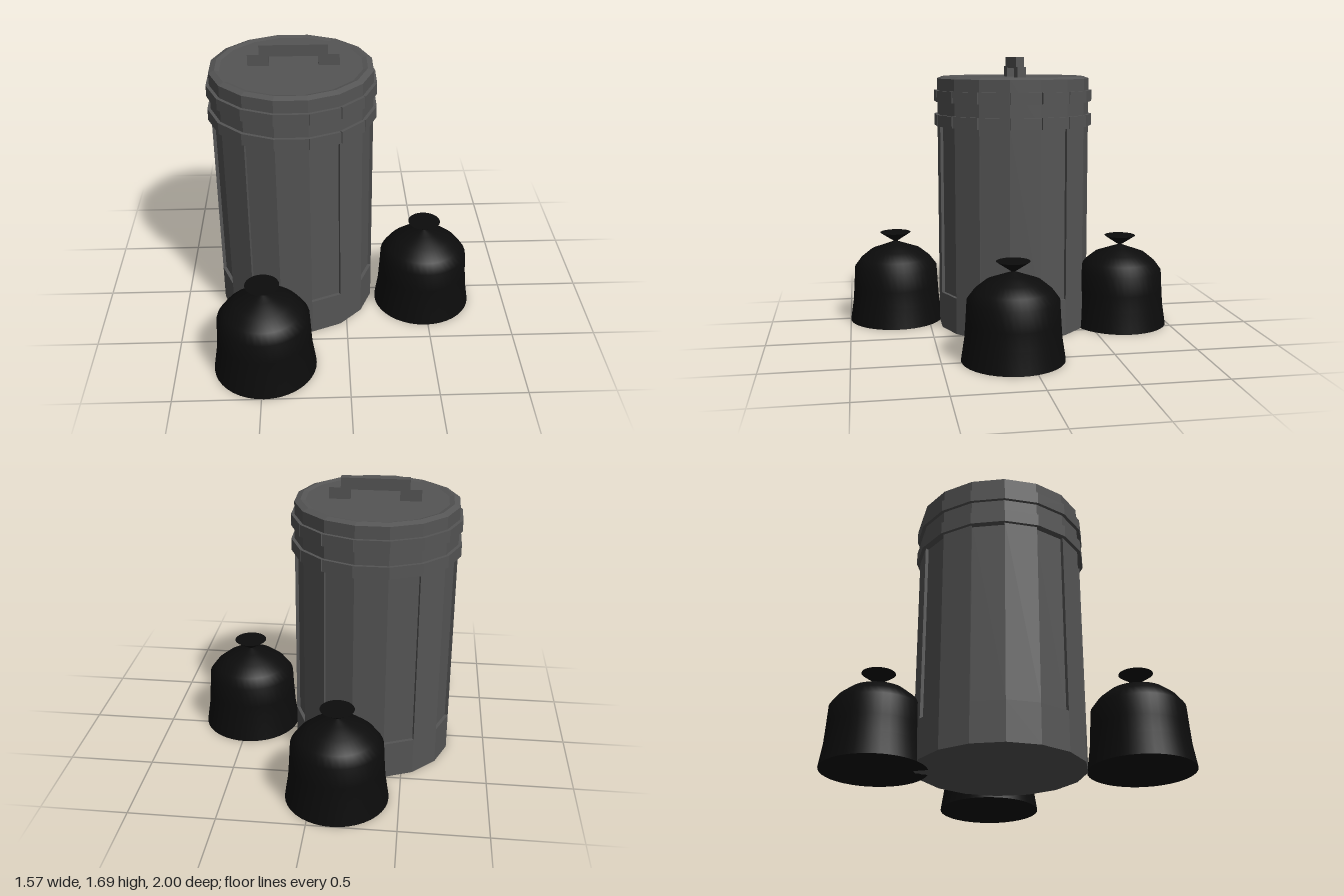
import * as THREE from 'three';

const SIDES = 16;
const STEP = (Math.PI * 2) / SIDES;
const APOTHEM = 0.465;
const HALF = APOTHEM * Math.tan(STEP / 2); // half the width of one side
const RADIUS = APOTHEM / Math.cos(STEP / 2);

const metal = new THREE.MeshStandardMaterial({ color: 0x555555, flatShading: true });
const plastic = new THREE.MeshStandardMaterial({ color: 0x0c0c0c });

function addMesh(parent, name, geometry, material) {
  const mesh = new THREE.Mesh(geometry, material);
  mesh.name = name;
  parent.add(mesh);
  return mesh;
}

// Faceted solid of revolution with flat sides facing the axes
function facetedLathe(profile) {
  const points = profile.map(([r, y]) => new THREE.Vector2(r, y));
  return new THREE.LatheGeometry(points, SIDES, STEP / 2);
}

// Wall whose every second side is set back as a panel
function flutedWall(bottom, top, depth) {
  const points = [];
  for (let i = 0; i < SIDES; i++) {
    const a = i * STEP;
    const c = Math.cos(a), s = Math.sin(a);
    const d = APOTHEM - (i % 2 ? depth : 0);
    for (const t of [-HALF, HALF]) {
      points.push(new THREE.Vector2(c * d - s * t, s * d + c * t));
    }
  }
  // solid sides share their corners with the panel walls
  const geometry = new THREE.ExtrudeGeometry(new THREE.Shape(points), {
    depth: top - bottom, bevelEnabled: false,
  });
  return geometry.rotateX(-Math.PI / 2).translate(0, bottom, 0);
}

// Band of separate plates, with open corners on the +x half
function addBand(parent, name, bottom, top) {
  const band = new THREE.Group();
  band.name = name;
  const outer = 0.484;
  for (let i = 0; i < SIDES; i++) {
    const a = i * STEP;
    const open = Math.sin(a) > 0.01;
    const width = 2 * (open ? HALF : outer * Math.tan(STEP / 2));
    const plate = addMesh(band, 'bandPlate',
      new THREE.BoxGeometry(width, top - bottom, 0.04), metal);
    plate.position.set(Math.sin(a) * (outer - 0.02), (bottom + top) / 2, Math.cos(a) * (outer - 0.02));
    plate.rotation.y = a;
  }
  parent.add(band);
}

function createCan() {
  const can = new THREE.Group();
  can.name = 'trashCan';
  addMesh(can, 'base', facetedLathe([[0, 0], [RADIUS, 0], [RADIUS, 0.225], [0, 0.225]]), metal);
  addMesh(can, 'panelledWall', flutedWall(0.225, 1.28, 0.02), metal);
  addMesh(can, 'lid', facetedLathe([
    [0, 1.28], [RADIUS, 1.28], [RADIUS, 1.56], [0.44, 1.573], [0.412, 1.565], [0, 1.565],
  ]), metal);
  addBand(can, 'lowerBand', 1.27, 1.34);
  addBand(can, 'upperBand', 1.418, 1.487);

  // Stepped handle outline, one half mirrored to the other
  const half = [[0.14, 1.56], [0.14, 1.622], [0, 1.622]];
  const outline = [[0, 1.69], [0.195, 1.69], [0.195, 1.632], [0.262, 1.632], [0.262, 1.56], ...half];
  const mirrored = outline.slice(1, -1).reverse().map(([x, y]) => [-x, y]);
  const shape = new THREE.Shape([...outline, ...mirrored].map(([x, y]) => new THREE.Vector2(x, y)));
  const handle = addMesh(can, 'handle',
    new THREE.ExtrudeGeometry(shape, { depth: 0.05, bevelEnabled: false }), metal);
  handle.position.set(0.013, 0, -0.035);

  can.position.set(-0.303, 0, -0.037);
  return can;
}

// Tied sack: slumped body, pinched neck and flared top
function createBag(x, z) {
  const bag = new THREE.Group();
  bag.name = 'trashBag';
  const lathe = (profile) => new THREE.LatheGeometry(
    profile.map(([r, y]) => new THREE.Vector2(r, y)), 40);
  addMesh(bag, 'bagBottom', lathe([[0, 0], [0.297, 0]]), plastic);
  addMesh(bag, 'bagBody', lathe([
    [0.297, 0], [0.277, 0.13], [0.27, 0.23], [0.263, 0.35], [0.222, 0.405],
    [0.16, 0.455], [0.07, 0.488], [0.01, 0.51],
  ]), plastic);
  addMesh(bag, 'bagKnot', lathe([[0.01, 0.51], [0.08, 0.556], [0.097, 0.568]]), plastic);
  addMesh(bag, 'bagTop', lathe([[0.097, 0.568], [0, 0.568]]), plastic);
  bag.position.set(x, 0, z);
  return bag;
}

export function createModel() {
  const model = new THREE.Group();
  model.name = 'trashCanWithBags';
  model.add(createCan());
  for (const [x, z] of [[-0.486, 0.703], [0.484, 0.09], [-0.143, -0.703]]) {
    model.add(createBag(x, z));
  }
  return model;
}
